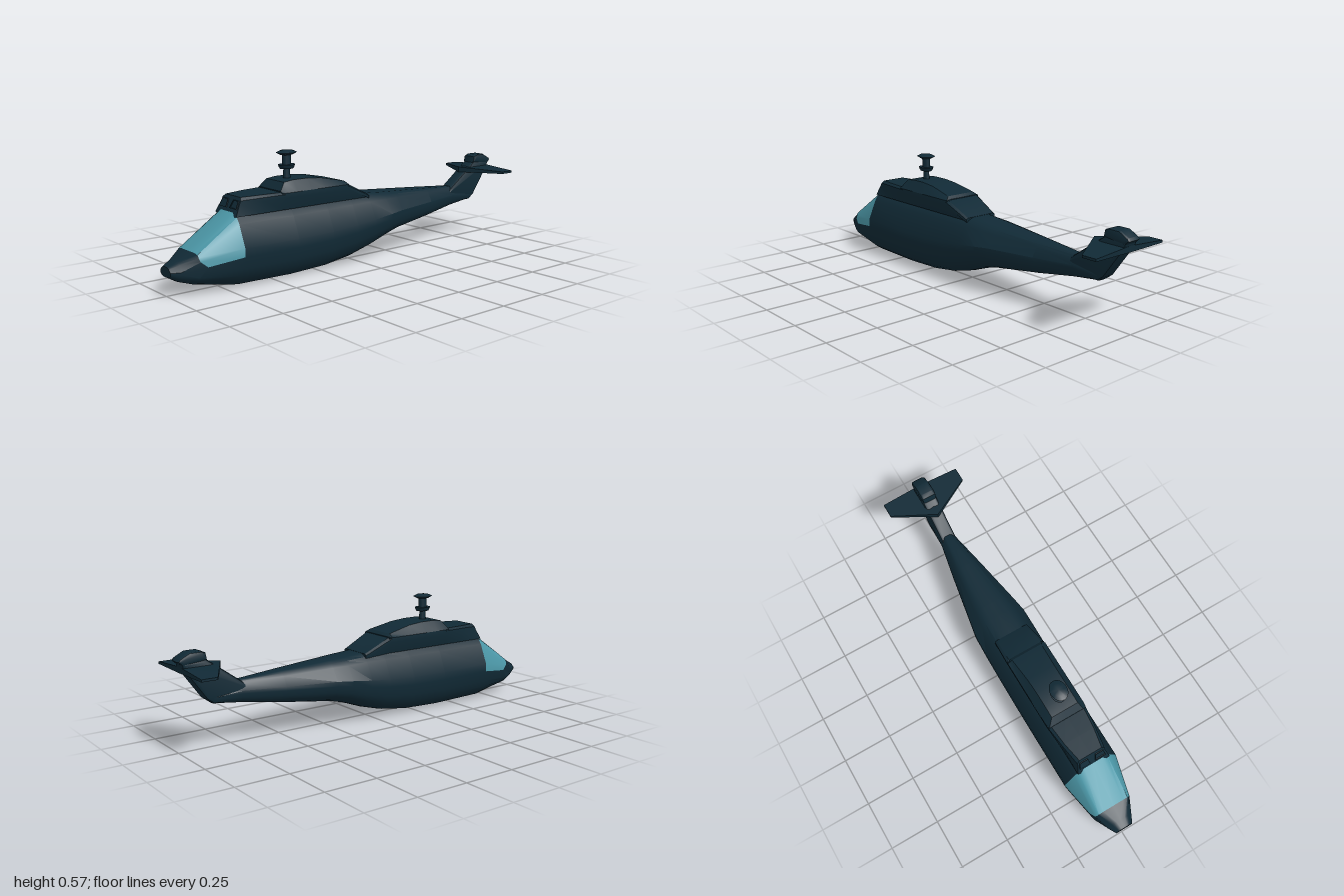
import * as THREE from 'three';
import { toCreasedNormals } from 'three/addons/utils/BufferGeometryUtils.js';

const paint = new THREE.MeshStandardMaterial({ color: 0x112a36 });
paint.name = 'dark blue paint';
const glass = new THREE.MeshStandardMaterial({ color: 0x4c98a8 });
glass.name = 'teal glass';

// Skins half sections (top centre to bottom centre, x >= 0), ordered front to back.
// keep(i, j) picks which panels are made, so one skin can be split by colour.
function loft(halves, keep = () => true, caps = true) {
  const n = halves[0].length;
  const rings = halves.map(h => [...h, ...h.slice(1, -1).reverse().map(([x, y, z]) => [-x, y, z])]);
  const m = rings[0].length;
  const pos = [];
  const tri = (...p) => p.forEach(v => pos.push(...v));
  for (let i = 0; i < rings.length - 1; i++) {
    for (let j = 0; j < m; j++) {
      if (!keep(i, j < n - 1 ? j : m - 1 - j)) continue;
      const k = (j + 1) % m;
      const a = rings[i][j], b = rings[i][k], c = rings[i + 1][k], d = rings[i + 1][j];
      tri(a, b, c);
      tri(a, c, d);
    }
  }
  if (caps) {
    const front = rings[0], back = rings[rings.length - 1];
    for (let j = 1; j < m - 1; j++) {
      tri(front[0], front[j + 1], front[j]);
      tri(back[0], back[j], back[j + 1]);
    }
  }
  const g = new THREE.BufferGeometry();
  g.setAttribute('position', new THREE.Float32BufferAttribute(pos, 3));
  return toCreasedNormals(g, 0.5);
}

// Extrudes a side outline of [z, y] points across x with a bevelled edge
function sideExtrude(outline, width, bevel) {
  const shape = new THREE.Shape(outline.map(p => new THREE.Vector2(...p)));
  const depth = width - 2 * bevel;
  const g = new THREE.ExtrudeGeometry(shape, {
    depth, bevelThickness: bevel, bevelSize: bevel, bevelOffset: -bevel, bevelSegments: 2,
  });
  g.translate(0, 0, -depth / 2).rotateY(-Math.PI / 2);
  return toCreasedNormals(g, 0.5);
}

export function createModel() {
  const model = new THREE.Group();
  model.name = 'helicopter';
  const add = (name, geometry, material = paint) => {
    const mesh = new THREE.Mesh(geometry, material);
    mesh.name = name;
    model.add(mesh);
    return mesh;
  };

  // Fuselage: one rounded profile scaled along the body
  const profile = [[0, 1], [0.35, 1], [0.56, 0.95], [0.7, 0.86], [1, 0.56], [1, 0.44],
    [0.95, 0.28], [0.86, 0.17], [0.7, 0.08], [0.5, 0.02], [0.28, 0], [0, 0]];
  const stations = [ // z, half width, bottom, top
    [1, 0.045, 0.085, 0.13], [0.96, 0.066, 0.062, 0.15], [0.89, 0.102, 0.04, 0.183],
    [0.69, 0.142, 0.005, 0.33], [0.4, 0.142, 0, 0.33], [0.2, 0.142, 0.008, 0.33],
    [0.05, 0.142, 0.03, 0.33], [-0.06, 0.142, 0.06, 0.328], [-0.17, 0.14, 0.1, 0.32],
    [-0.25, 0.126, 0.12, 0.315], [-0.5, 0.081, 0.152, 0.299], [-0.7, 0.042, 0.182, 0.285],
    [-0.84, 0.038, 0.2, 0.25],
  ];
  const body = stations.map(([z, w, lo, hi]) => profile.map(([x, y]) => [x * w, lo + y * (hi - lo), z]));
  // Lower edge of the windscreen
  [[0.055, 0.183, 0.89], [0.08, 0.178, 0.89], [0.09, 0.168, 0.89],
    [0.098, 0.15, 0.885], [0.108, 0.125, 0.855]].forEach((p, k) => { body[2][k + 1] = p; });
  const isGlass = (i, j) => i === 2 && j < 5;
  add('fuselage', loft(body, (i, j) => !isGlass(i, j)));
  add('windscreen', loft(body, isGlass, false), glass);

  // Engine cowling on the roof, with a sloping front face
  const cowl = [ // z, roof half width, roof height, side half width, shoulder height
    [0.69, 0.06, 0.395, 0.074, 0.382], [0.56, 0.078, 0.397, 0.09, 0.386],
    [0.44, 0.09, 0.398, 0.104, 0.388], [0.08, 0.09, 0.396, 0.104, 0.386],
    [-0.06, 0.08, 0.329, 0.09, 0.322],
  ].map(([z, tw, t, w, s], i) => [[0, t], [tw, t], [w, s], [w, s - 0.014], [0.086, 0.315], [0, 0.3]]
    .map(([x, y]) => [x, Math.min(y, t), i ? z : z - (y - 0.33) * 0.5]));
  add('engineCowling', loft(cowl));

  // Raised gearbox fairing
  const fairing = [ // z, roof half width, roof height, base half width
    [0.46, 0.085, 0.402, 0.1], [0.43, 0.07, 0.438, 0.104], [0.38, 0.07, 0.444, 0.104],
    [0.3, 0.07, 0.444, 0.104], [0.22, 0.072, 0.437, 0.104], [0.09, 0.08, 0.41, 0.104],
    [0.075, 0.08, 0.397, 0.1],
  ].map(([z, tw, t, w]) => [[0, t], [tw, t], [w, 0.394], [w, 0.386], [0, 0.38]]
    .map(([x, y]) => [x, y, z]));
  add('gearboxFairing', loft(fairing));

  // Pair of engine intakes: rimmed panels on the cowling front
  for (const s of [-1, 1]) {
    const trapezoid = [[0.013, 0.345], [0.07, 0.345], [0.063, 0.38], [0.02, 0.38]]
      .map(([x, y]) => new THREE.Vector2(s * x, y));
    const rim = new THREE.Shape(trapezoid);
    const centre = new THREE.Vector2(s * 0.0415, 0.3625);
    rim.holes.push(new THREE.Path(trapezoid.map(p => p.clone().lerp(centre, 0.12))));
    const g = new THREE.ExtrudeGeometry(rim, { depth: 0.006, bevelEnabled: false });
    const p = g.attributes.position;
    for (let i = 0; i < p.count; i++) p.setZ(i, p.getZ(i) + 0.689 - (p.getY(i) - 0.33) * 0.5);
    g.computeVertexNormals();
    add(s > 0 ? 'leftIntakeRim' : 'rightIntakeRim', g);
  }

  // Rotor mast with flange and domed cap, longer than wide
  const mast = [[0.015, 0.43], [0.013, 0.485], [0.026, 0.487], [0.03, 0.493], [0.034, 0.506],
    [0.018, 0.506], [0.018, 0.55], [0.026, 0.552], [0.041, 0.562], [0.025, 0.571], [0, 0.574]];
  const mastMesh = add('rotorMast', toCreasedNormals(
    new THREE.LatheGeometry(mast.map(p => new THREE.Vector2(...p)), 24), 0.5));
  mastMesh.position.z = 0.365;
  mastMesh.scale.z = 1.25;

  // Swept tail fin and the tip housing
  add('tailFin', sideExtrude([[-0.66, 0.25], [-0.7, 0.283], [-0.87, 0.405], [-0.985, 0.4],
    [-0.978, 0.372], [-0.872, 0.225], [-0.838, 0.2], [-0.76, 0.2]], 0.076, 0.014));
  add('finTipHousing', sideExtrude([[-0.862, 0.4], [-0.868, 0.432], [-0.89, 0.441], [-0.945, 0.441],
    [-0.99, 0.418], [-1, 0.406], [-0.975, 0.383]], 0.076, 0.012));

  // Tailplane: a box tapered towards both tips
  const plane = new THREE.BoxGeometry(1, 1, 1, 2, 1, 1);
  const v = plane.attributes.position;
  const mix = THREE.MathUtils.lerp;
  for (let i = 0; i < v.count; i++) {
    const t = Math.abs(v.getX(i)) * 2;
    const x = v.getX(i) * 0.42;
    const y = v.getY(i) > 0 ? mix(0.38, 0.365, t) : mix(0.352, 0.354, t);
    const z = v.getZ(i) > 0 ? mix(-0.785, -0.905, t) : -0.98;
    v.setXYZ(i, x, y, z);
  }
  add('tailplane', toCreasedNormals(plane, 0.3));

  return model;
}
